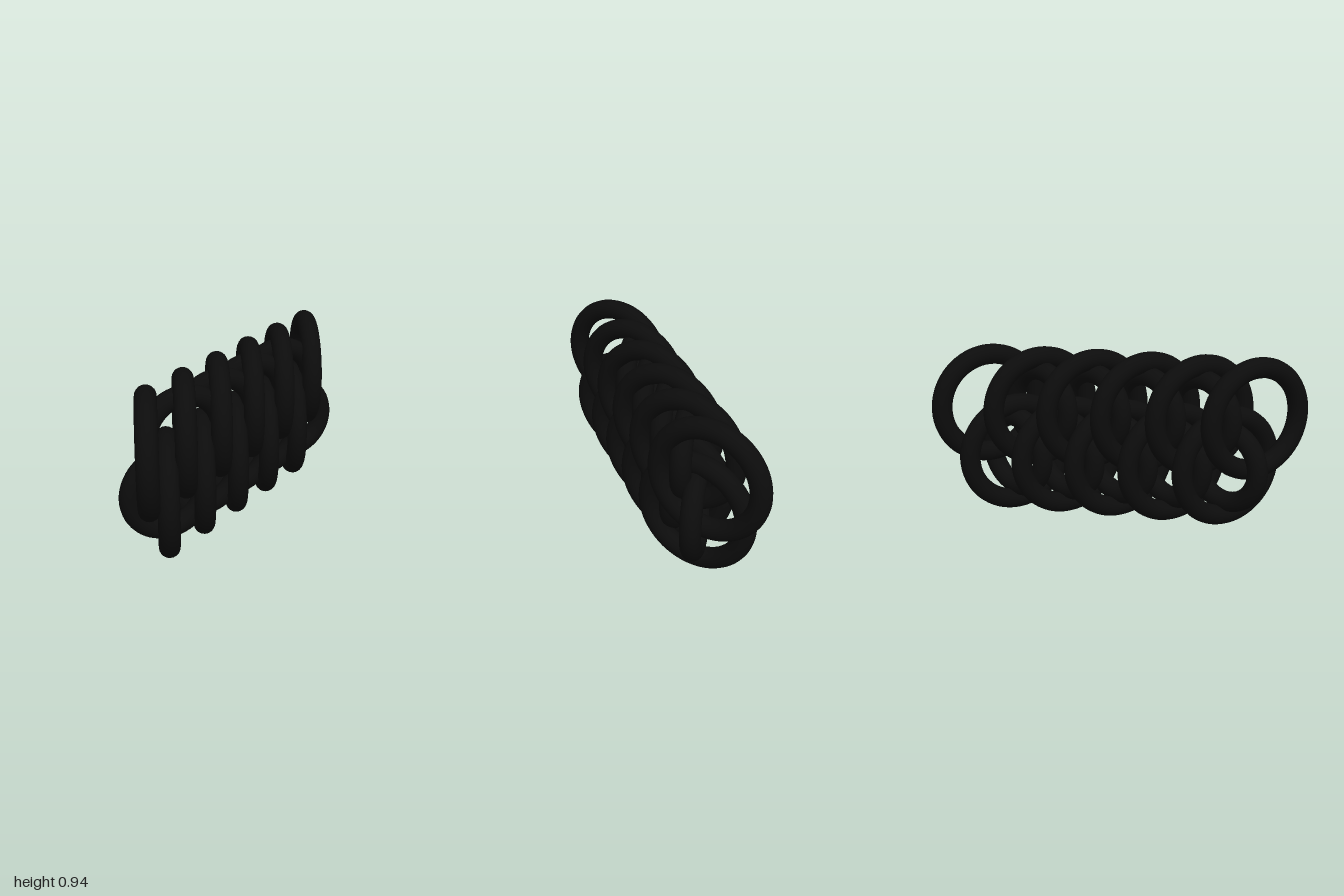
import * as THREE from 'three';

const PITCH = 0.2925; // spacing of rings along a row
const TUBE = 0.055;

export function createModel() {
  const model = new THREE.Group();
  model.name = 'ringWeave';
  const material = new THREE.MeshStandardMaterial({ color: 0x0c0c0c });
  const largeRing = new THREE.TorusGeometry(0.278, TUBE, 20, 64);
  const smallRing = new THREE.TorusGeometry(0.203, TUBE, 20, 56);

  // A row of equal rings, centred on x = 0, all leaning the same way
  function addRow(name, geometry, count, y, lean) {
    const row = new THREE.Group();
    row.name = name + 'Row';
    for (let i = 0; i < count; i++) {
      const ring = new THREE.Mesh(geometry, material);
      ring.name = name;
      ring.position.set((i - (count - 1) / 2) * PITCH, y, 0);
      ring.rotation.y = THREE.MathUtils.degToRad(lean);
      row.add(ring);
    }
    model.add(row);
  }

  // Large rings lean one way, small connecting rings lean the other
  addRow('upperLargeRing', largeRing, 6, 0.609, 40);
  addRow('lowerLargeRing', largeRing, 5, 0.335, 40);
  addRow('upperSmallRing', smallRing, 4, 0.609, -30);
  addRow('lowerSmallRing', smallRing, 5, 0.335, -30);

  return model;
}
